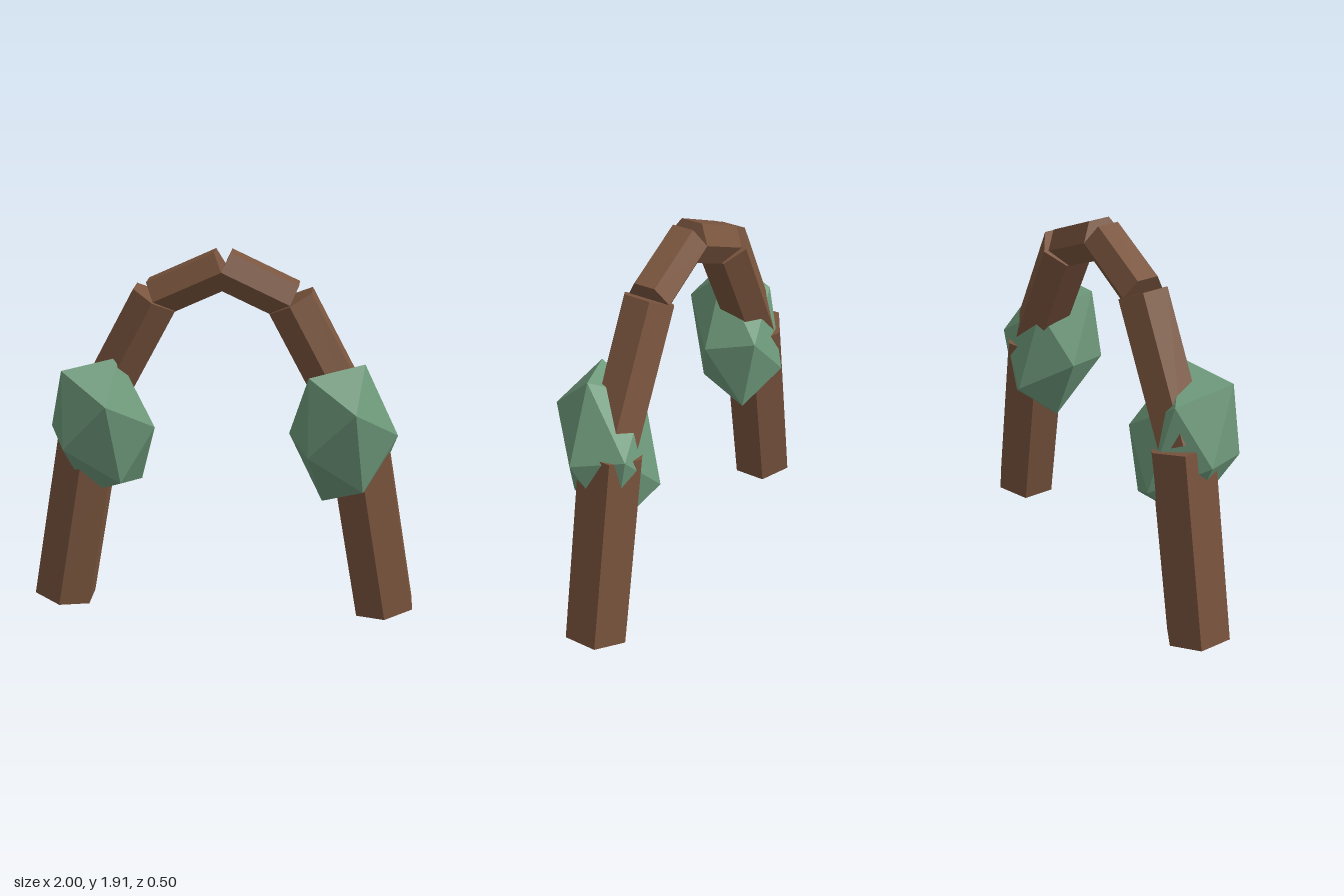
import * as THREE from 'three';

const v = (x, y, z) => new THREE.Vector3(x, y, z);
const wood = new THREE.MeshStandardMaterial({ color: 0x7a553e, flatShading: true });
const leaf = new THREE.MeshStandardMaterial({ color: 0x6f9b7c, flatShading: true });
const ARCH_Z = -0.06;

// Six-sided log between two points of the arch, ridges facing front and back
function log(name, [x0, y0], [x1, y1], radius) {
  const a = v(x0, y0, ARCH_Z), b = v(x1, y1, ARCH_Z);
  const mesh = new THREE.Mesh(new THREE.CylinderGeometry(radius, radius, a.distanceTo(b), 6), wood);
  mesh.name = name;
  mesh.position.copy(a).lerp(b, 0.5);
  mesh.rotation.z = -Math.atan2(x1 - x0, y1 - y0);
  return mesh;
}

// Stretched, tilted icosahedron: one face is fitted to three corners, the rest follows
function foliageGeometry() {
  const geo = new THREE.IcosahedronGeometry(1, 0);
  const p = geo.attributes.position;
  const corner = (i) => new THREE.Vector3().fromBufferAttribute(p, i);
  const from = new THREE.Matrix4().makeBasis(corner(0), corner(1), corner(2));
  const to = new THREE.Matrix4().makeBasis(
    v(0.062, 0.184, 0.25), v(0.099, 0.382, 0.04), v(-0.174, 0.334, 0.145));
  geo.applyMatrix4(to.multiply(from.invert()));
  geo.computeVertexNormals();
  return geo;
}

export function createModel() {
  const model = new THREE.Group();
  model.name = 'archway';
  const bush = foliageGeometry();

  for (const [side, s] of [['left', 1], ['right', -1]]) {
    // Joints of the arch from the ground to the crown
    const base = [s * 0.856, 0.03], knee = [s * 0.678, 1.035];
    const shoulder = [s * 0.337, 1.674], crown = [0, 1.83];
    model.add(
      log(side + 'Post', base, knee, 0.17),
      log(side + 'Brace', knee, shoulder, 0.135),
      log(side + 'CrownBeam', shoulder, crown, 0.11));

    // Foliage clump around the knee joint, same orientation on both sides
    const clump = new THREE.Mesh(bush, leaf);
    clump.name = side + 'Foliage';
    clump.position.set(s * 0.613, 1.004, 0);
    model.add(clump);
  }
  return model;
}
